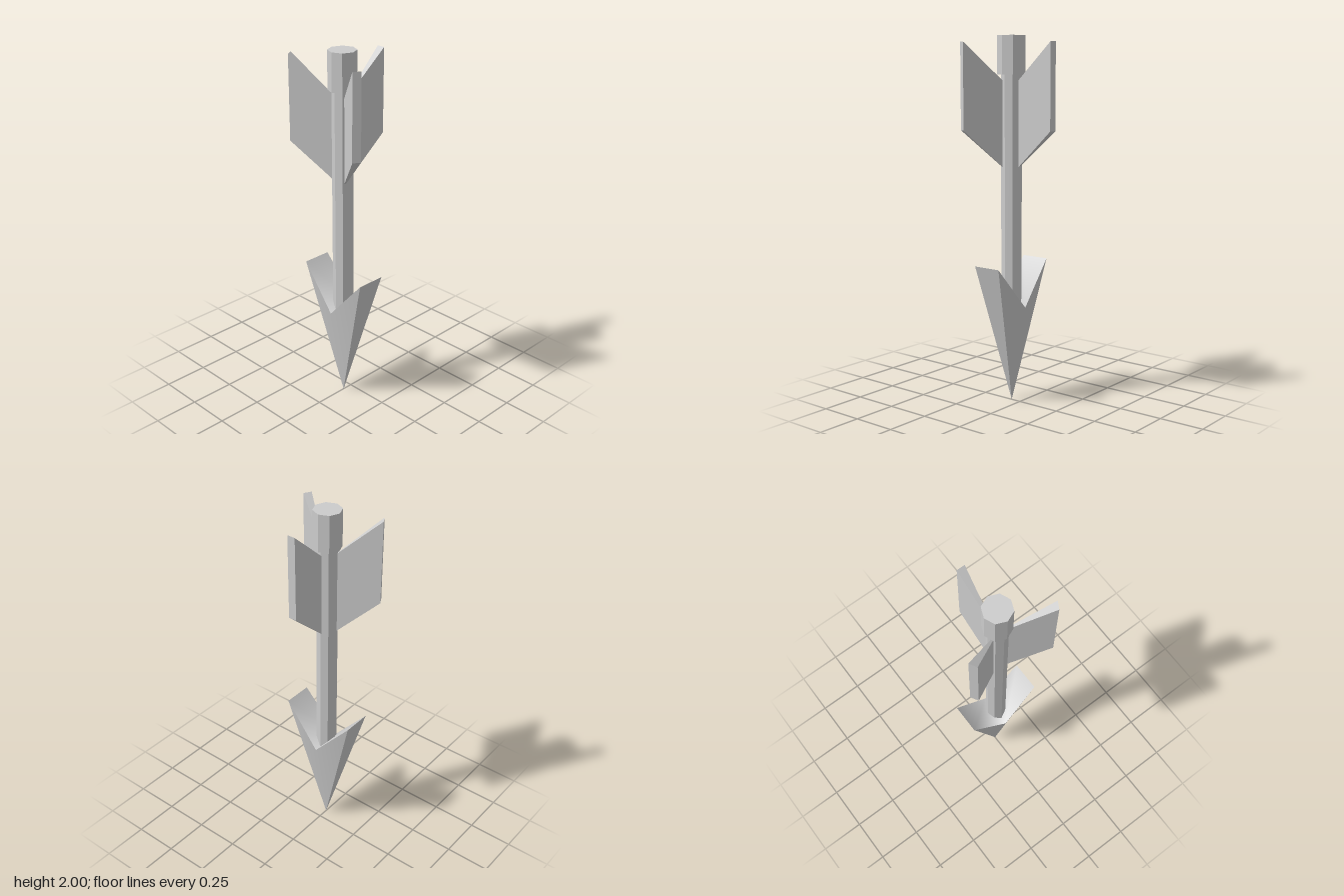
import * as THREE from 'three';
import { mergeGeometries } from 'three/addons/utils/BufferGeometryUtils.js';

const flat = new THREE.MeshStandardMaterial({ color: 0xcccccc, flatShading: true });
const smooth = new THREE.MeshStandardMaterial({ color: 0xcccccc });

function part(name, geometry, material = flat) {
  const mesh = new THREE.Mesh(geometry, material);
  mesh.name = name;
  return mesh;
}

// Eight-sided rod between two heights
function rod(radius, bottom, top) {
  return new THREE.CylinderGeometry(radius, radius, top - bottom, 8).translate(0, (bottom + top) / 2, 0);
}

// One smooth patch: corners shared inside the patch, hard edges between patches
function patch(points, index) {
  const g = new THREE.BufferGeometry();
  g.setAttribute('position', new THREE.Float32BufferAttribute(points.flat(), 3));
  g.setIndex(index);
  g.computeVertexNormals();
  return g;
}

// Barbed head: tip, two swept-back barbs and a V notch around the shaft
function headGeometry() {
  const barbX = 0.21, barbY = 0.78, barbZ = 0.081, notchY = 0.54, notchZ = 0.096;
  const tip = [0, 0, 0];
  const barb = (sx, sz) => [sx * barbX, barbY, sz * barbZ];
  const notch = (sz) => [0, notchY, sz * notchZ];
  const patches = [];
  for (const s of [1, -1]) {
    // broad face, front then back
    patches.push(patch([tip, barb(s, s), notch(s), barb(-s, s)], [0, 1, 2, 0, 2, 3]));
    // narrow outer edge
    patches.push(patch([tip, barb(s, -s * s), barb(s, s * s)], s > 0 ? [0, 1, 2] : [0, 2, 1]));
  }
  // notch surface
  patches.push(patch(
    [barb(-1, 1), notch(1), barb(1, 1), barb(-1, -1), notch(-1), barb(1, -1)],
    [0, 1, 4, 0, 4, 3, 1, 2, 5, 1, 5, 4]));
  return mergeGeometries(patches);
}

// Fin: a box swept upwards and thickened towards its outer edge, pointing to -z
function finGeometry() {
  const inner = 0.05, outer = 0.276;
  const g = new THREE.BoxGeometry(1, 1, 1);
  const p = g.attributes.position;
  for (let i = 0; i < p.count; i++) {
    const out = p.getZ(i) < 0;
    const r = out ? outer : inner;
    const half = out ? 0.0225 : 0.0045;
    const low = out ? 1.505 : 1.303;
    p.setXYZ(i, Math.sign(p.getX(i)) * half, low + (p.getY(i) > 0 ? 0.46 : 0), -r);
  }
  g.computeVertexNormals();
  return g;
}

export function createModel() {
  const model = new THREE.Group();
  model.name = 'arrow';
  const body = new THREE.Group();
  body.name = 'arrowBody';
  body.position.z = 0.058; // centres the three fins in depth
  model.add(body);

  body.add(part('shaft', rod(0.056, 0.5, 1.8)));
  body.add(part('nock', rod(0.0755, 1.795, 2)));
  body.add(part('arrowhead', headGeometry(), smooth));

  // Three fins spaced evenly round the shaft
  const fin = finGeometry();
  ['backFin', 'rightFin', 'leftFin'].forEach((name, i) => {
    const mesh = part(name, fin);
    mesh.rotation.y = (i * Math.PI * 2) / 3;
    body.add(mesh);
  });
  return model;
}
